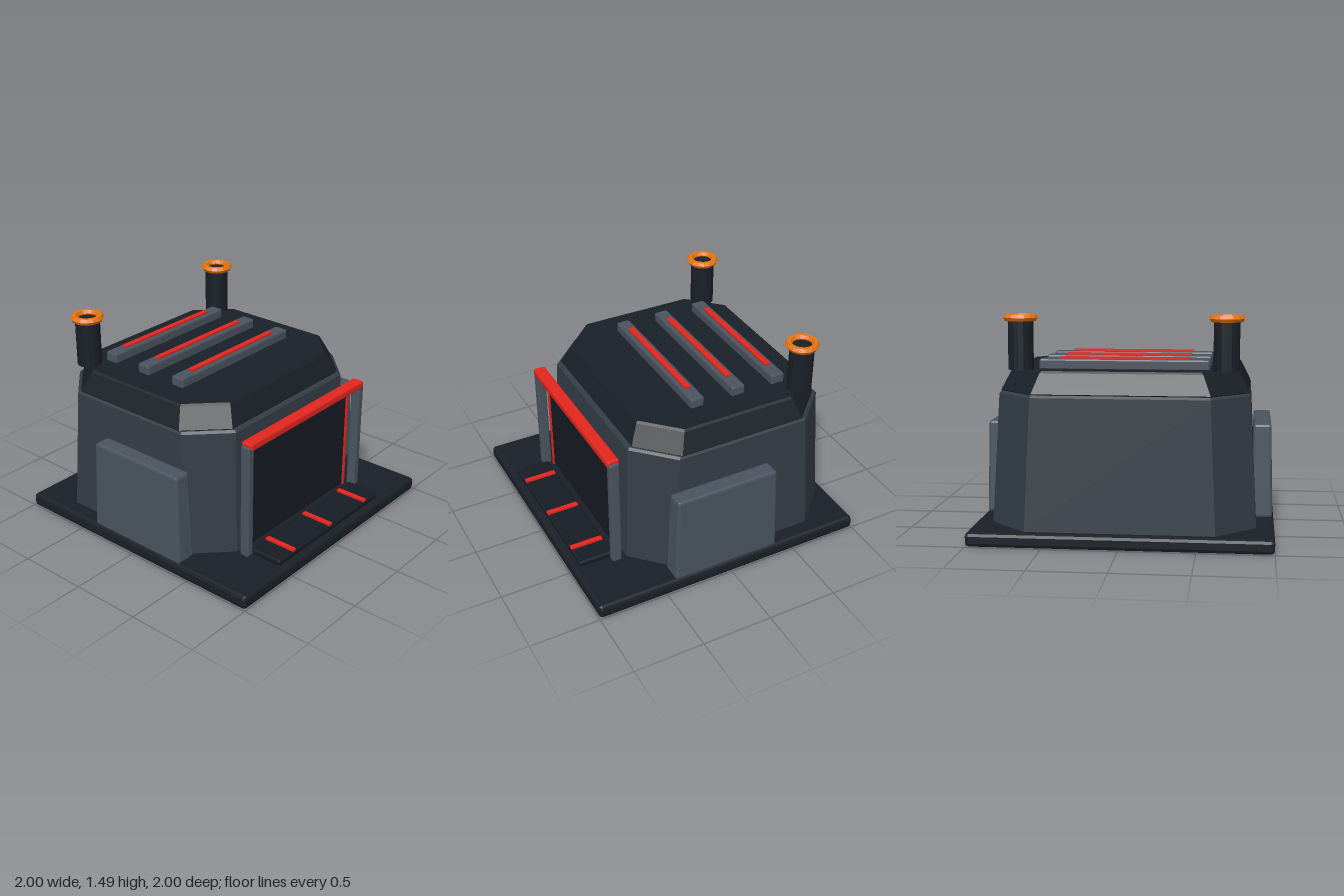
import * as THREE from 'three';
import { RoundedBoxGeometry } from 'three/addons/geometries/RoundedBoxGeometry.js';

const mat = (color) => new THREE.MeshStandardMaterial({ color, flatShading: true });

// Chamfered rectangle outline, as [x, z] corners
function octagon(hx, hz, c) {
  return [
    [hx, hz - c], [hx - c, hz], [c - hx, hz], [-hx, hz - c],
    [-hx, c - hz], [c - hx, -hz], [hx - c, -hz], [hx, c - hz],
  ];
}

// Closed solid through octagonal rings given as [y, halfX, halfZ, chamfer], bottom to top
function loft(rings) {
  const pos = [], index = [], n = 8;
  for (const [y, hx, hz, c] of rings) for (const [x, z] of octagon(hx, hz, c)) pos.push(x, y, z);
  for (let r = 0; r < rings.length - 1; r++) {
    for (let i = 0; i < n; i++) {
      const a = r * n + i, b = r * n + (i + 1) % n;
      index.push(a, a + n, b, b, a + n, b + n);
    }
  }
  const top = (rings.length - 1) * n;
  for (let i = 1; i < n - 1; i++) {
    index.push(0, i, i + 1);
    index.push(top, top + i + 1, top + i);
  }
  const g = new THREE.BufferGeometry();
  g.setAttribute('position', new THREE.Float32BufferAttribute(pos, 3));
  g.setIndex(index);
  g.computeVertexNormals();
  return g;
}

export function createModel() {
  const model = new THREE.Group();
  model.name = 'garage';
  const dark = mat(0x1a2028), panel = mat(0x171c24), hullGrey = mat(0x343d46);
  const steel = mat(0x4a545f), red = mat(0xe3261e), orange = mat(0xe87511);

  const add = (name, geometry, material, x = 0, y = 0, z = 0) => {
    const mesh = new THREE.Mesh(geometry, material);
    mesh.name = name;
    mesh.position.set(x, y, z);
    model.add(mesh);
    return mesh;
  };
  // Box from its minimum and maximum corners, with softened edges when bevel > 0
  const box = (name, material, [x0, y0, z0], [x1, y1, z1], bevel = 0) => {
    const s = [x1 - x0, y1 - y0, z1 - z0];
    const g = bevel ? new RoundedBoxGeometry(...s, 1, bevel) : new THREE.BoxGeometry(...s);
    return add(name, g, material, (x0 + x1) / 2, (y0 + y1) / 2, (z0 + z1) / 2);
  };

  // Ground slab
  box('baseSlab', dark, [-1, 0.005, -1], [1, 0.1, 1], 0.025);

  // Tapered eight-sided hull and roof
  const bodyZ = -0.155;
  add('hull', loft([
    [0.1, 0.88, 0.775, 0.26], [0.97, 0.832, 0.73, 0.25], [0.985, 0.82, 0.715, 0.245],
  ]), hullGrey, 0, 0, bodyZ);
  add('roof', loft([
    [0.975, 0.815, 0.69, 0.245], [0.99, 0.825, 0.7, 0.245],
    [1.122, 0.76, 0.64, 0.23], [1.135, 0.745, 0.628, 0.225],
  ]), dark, 0, 0, bodyZ);

  // Roof bars with glowing strips
  for (const z of [0.05, -0.26, -0.57]) {
    box('roofBar', steel, [-0.565, 1.125, z - 0.05], [0.565, 1.2, z + 0.05], 0.012);
    box('roofStrip', red, [-0.43, 1.195, z - 0.02], [0.43, 1.213, z + 0.02]);
  }

  for (const s of [-1, 1]) {
    // Exhaust stack and its rim
    add('stack', new THREE.CylinderGeometry(0.085, 0.085, 0.33, 16), dark, s * 0.675, 1.3, -0.67);
    add('stackRim', new THREE.TorusGeometry(0.09, 0.025, 6, 16), orange, s * 0.675, 1.475, -0.67)
      .rotation.x = Math.PI / 2;

    // Side buttress, narrowing towards the top
    const g = new RoundedBoxGeometry(0.15, 0.645, 0.785, 1, 0.018);
    const p = g.attributes.position;
    for (let i = 0; i < p.count; i++) {
      const t = p.getY(i) / 0.645 + 0.5;
      p.setX(i, p.getX(i) * (1 - 0.2 * t));
      p.setZ(i, p.getZ(i) * (1 - 0.05 * t));
    }
    add('buttress', g, steel, s * 0.916, 0.418, 0.037);

    // Door post and door edge strip
    const post = s * 0.617, edge = s * 0.54;
    box('doorPost', steel, [post - 0.029, 0.11, 0.665], [post + 0.029, 0.935, 0.735], 0.012);
    box('doorEdgeStrip', red, [edge - 0.01, 0.13, 0.655], [edge + 0.01, 0.875, 0.675]);
  }

  // Door and lintel
  box('door', panel, [-0.555, 0.13, 0.625], [0.555, 0.89, 0.665], 0.012);
  box('lintel', red, [-0.628, 0.903, 0.657], [0.628, 0.957, 0.743], 0.012);

  // Entry ramp with guide strips
  box('ramp', panel, [-0.58, 0.1, 0.7], [0.58, 0.142, 0.95], 0.012);
  for (const x of [-0.415, 0, 0.415]) {
    box('rampStrip', red, [x - 0.018, 0.137, 0.715], [x + 0.018, 0.155, 0.947]);
  }
  return model;
}
